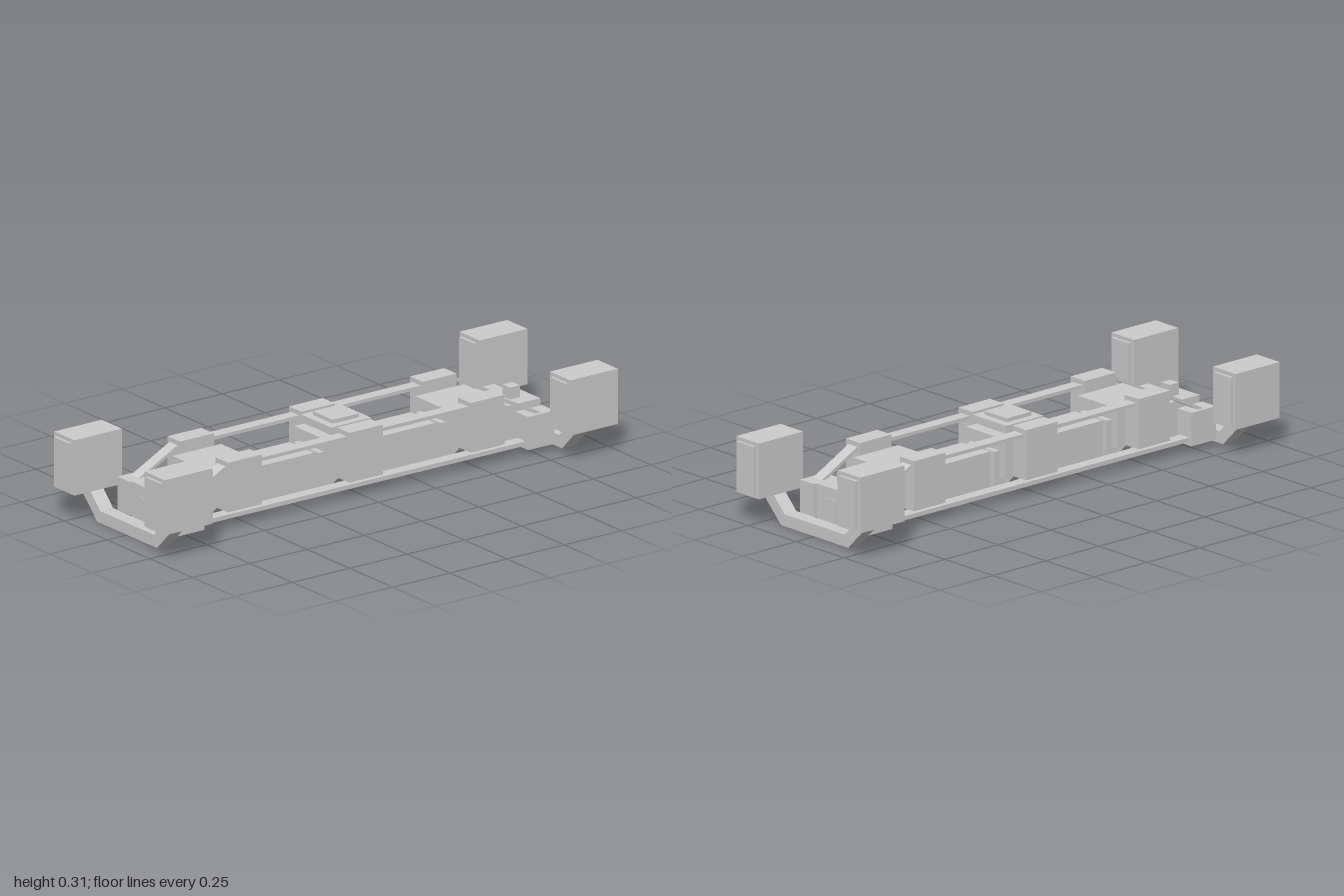
import * as THREE from 'three';

const material = new THREE.MeshStandardMaterial({ color: 0xcccccc, flatShading: true });

export function createModel() {
  const model = new THREE.Group();

  const add = (name, geometry) => {
    const mesh = new THREE.Mesh(geometry, material);
    mesh.name = name;
    model.add(mesh);
    return mesh;
  };

  // Box given by its extents on each axis
  const box = (name, x0, x1, y0, y1, z0, z1) =>
    add(name, new THREE.BoxGeometry(x1 - x0, y1 - y0, z1 - z0))
      .position.set((x0 + x1) / 2, (y0 + y1) / 2, (z0 + z1) / 2);

  // Box symmetric about the x = 0 plane
  const midBox = (name, hx, y0, y1, zc, hz) => box(name, -hx, hx, y0, y1, zc - hz, zc + hz);

  // Box repeated on the left and right
  const pairBox = (name, x0, x1, y0, y1, zc, hz) => {
    box(name + 'Left', x0, x1, y0, y1, zc - hz, zc + hz);
    box(name + 'Right', -x1, -x0, y0, y1, zc - hz, zc + hz);
  };

  // Outline extruded by depth, centred on its own extrusion axis
  const plate = (points, depth) => {
    const shape = new THREE.Shape(points.map(([a, b]) => new THREE.Vector2(a, b)));
    return new THREE.ExtrudeGeometry(shape, { depth, bevelEnabled: false }).translate(0, 0, -depth / 2);
  };

  // Central spine and blocks between the main housings
  midBox('spine', 0.03, 0, 0.02, 0, 0.86);
  midBox('spineCore', 0.03, 0.02, 0.12, 0, 0.84);
  for (const s of [1, -1]) midBox('linkBlock', 0.072, 0.02, 0.165, s * 0.265, 0.115);

  // Three main stations: housing, collar, side boxes and slanted struts
  for (const z of [0.53, 0, -0.53]) {
    midBox('housing', 0.104, 0.06, 0.206, z, 0.106);
    midBox('collar', 0.072, 0.02, 0.16, z, 0.13);
    pairBox('sideBox', 0.104, 0.177, 0.068, 0.252, z, 0.074);
    for (const side of [1, -1]) {
      for (const dz of [0.052, -0.052]) {
        const outline = [[0.03, 0.033], [0.076, 0.033], [0.125, 0.082], [0.03, 0.082]];
        const strut = add('strut', plate(outline, 0.042));
        strut.position.z = z + dz;
        strut.rotation.y = side > 0 ? 0 : Math.PI;
      }
    }
  }

  // Stepped hatch on the middle housing
  midBox('hatchCore', 0.058, 0.2, 0.264, 0, 0.058);
  midBox('hatchPlate', 0.088, 0.222, 0.25, 0, 0.088);

  // Upper rails bent down at both ends, and flat lower rails
  const top = [[-0.775, 0.147], [-0.605, 0.235], [0.605, 0.235], [0.775, 0.147]];
  const rail = [...top.map(([z, y]) => [z, y - 0.013]), ...top.slice().reverse()];
  for (const s of [1, -1]) {
    const upper = add('upperRail', plate(rail, 0.046));
    upper.rotation.y = Math.PI / 2;
    upper.position.x = s * 0.14;
  }
  pairBox('lowerRail', 0.117, 0.163, 0.038, 0.054, 0, 0.8);

  // Both ends: end block, knob, arms, end boxes, cross beam and corner pods
  const beam = [[-0.175, 0], [0.175, 0], [0.285, 0.11], [0.222, 0.11], [0.157, 0.044],
    [-0.157, 0.044], [-0.222, 0.11], [-0.285, 0.11]];
  for (const s of [1, -1]) {
    midBox('endBlock', 0.074, 0.02, 0.162, s * 0.765, 0.072);
    midBox('knob', 0.022, 0.16, 0.206, s * 0.765, 0.022);
    midBox('endArm', 0.11, 0.06, 0.12, s * 0.765, 0.029);
    pairBox('endBox', 0.104, 0.177, 0.025, 0.148, s * 0.764, 0.058);
    add('crossBeam', plate(beam, 0.056)).position.z = s * 0.884;
    pairBox('cornerPod', 0.205, 0.323, 0.104, 0.309, s * 0.885, 0.104);
    pairBox('podPanel', 0.222, 0.311, 0.118, 0.295, s * 0.885, 0.115);
  }

  return model;
}
